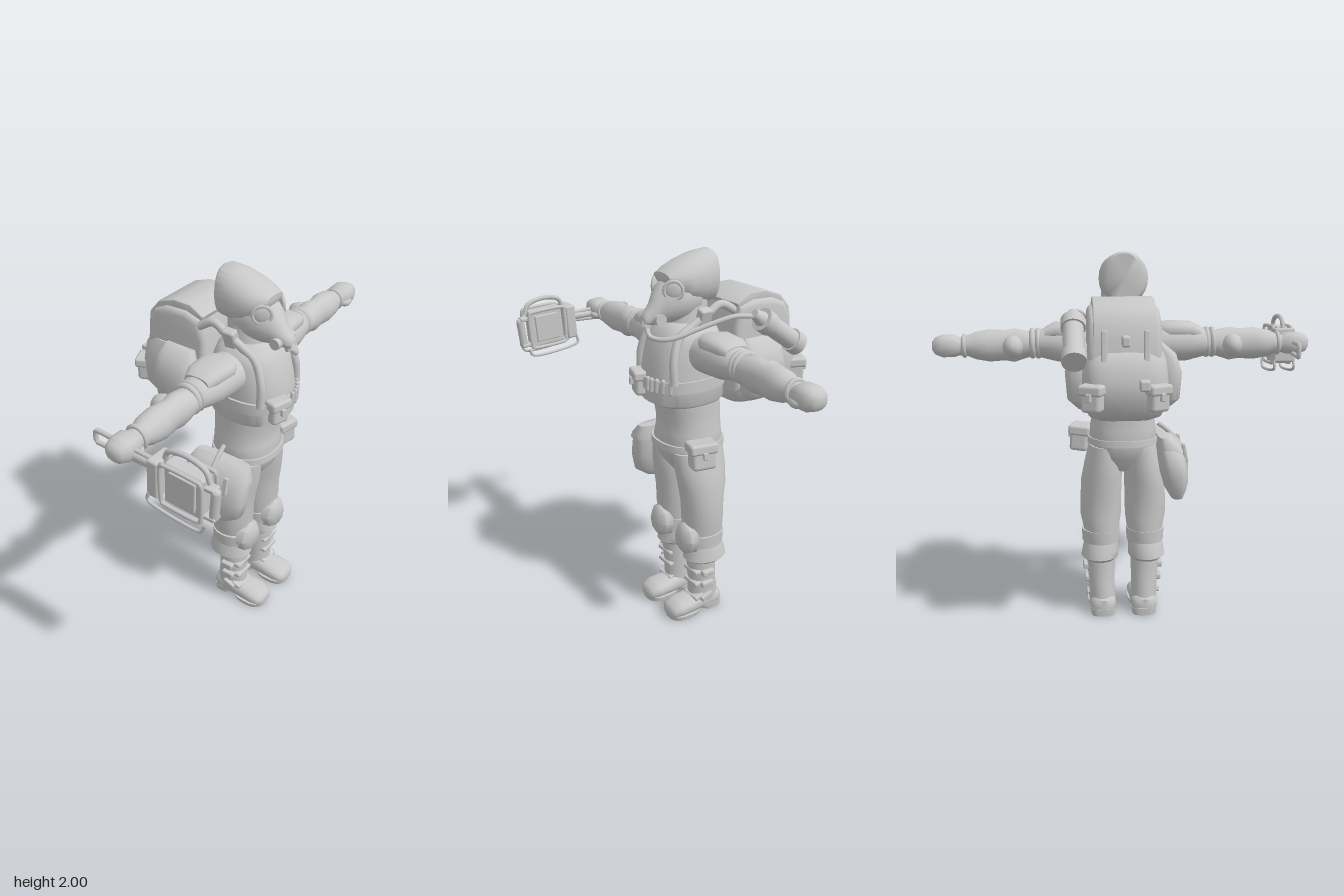
import * as THREE from 'three';
import { toCreasedNormals } from 'three/addons/utils/BufferGeometryUtils.js';
import { RoundedBoxGeometry } from 'three/addons/geometries/RoundedBoxGeometry.js';

const grey = new THREE.MeshStandardMaterial({ color: 0xc8c8c8 });
grey.name = 'plain grey';

// Skin over super-ellipse rings [t, centreA, centreB, radiusA, radiusB] along an axis.
// (a, b) is (x, z) along y, (x, y) along z and (z, y) along x.
function loft(axis, rings, n = 2, seg = 24) {
  const place = { y: (t, a, b) => [a, t, b], z: (t, a, b) => [a, b, t], x: (t, a, b) => [t, b, a] }[axis];
  const pos = [], idx = [];
  for (const [t, ca, cb, ra, rb] of rings) {
    for (let i = 0; i < seg; i++) {
      const u = (i / seg) * Math.PI * 2, c = Math.cos(u), s = Math.sin(u);
      pos.push(...place(t, ca + ra * Math.sign(c) * Math.abs(c) ** (2 / n),
        cb + rb * Math.sign(s) * Math.abs(s) ** (2 / n)));
    }
  }
  const first = rings[0], last = rings[rings.length - 1], k = rings.length * seg;
  pos.push(...place(first[0], first[1], first[2]), ...place(last[0], last[1], last[2]));
  const flip = (last[0] > first[0]) === (axis === 'z');
  const tri = (a, b, c) => (flip ? idx.push(a, b, c) : idx.push(a, c, b));
  for (let i = 0; i < seg; i++) {
    const j = (i + 1) % seg;
    for (let r = 0; r < rings.length - 1; r++) {
      const p = r * seg;
      tri(p + i, p + j, p + seg + j);
      tri(p + i, p + seg + j, p + seg + i);
    }
    tri(k, j, i);
    tri(k + 1, k - seg + i, k - seg + j);
  }
  const g = new THREE.BufferGeometry();
  g.setAttribute('position', new THREE.Float32BufferAttribute(pos, 3));
  g.setIndex(idx);
  return toCreasedNormals(g, 0.85);
}

const box = (w, h, d, r = 0.012) => new RoundedBoxGeometry(w, h, d, 2, Math.min(r, w / 2.1, h / 2.1, d / 2.1));
const tube = (pts, r, closed = false, steps = 36, tension = 0.5) => new THREE.TubeGeometry(
  new THREE.CatmullRomCurve3(pts.map(p => new THREE.Vector3(...p)), closed, 'catmullrom', tension), steps, r, 8, closed);

export function createModel() {
  const model = new THREE.Group();
  const add = (name, geo, p = [0, 0, 0], rot = [0, 0, 0], parent = model) => {
    const m = new THREE.Mesh(geo, grey);
    m.name = name;
    m.position.set(...p);
    m.rotation.set(...rot);
    parent.add(m);
    return m;
  };
  // Pouch whose front points along its own +x
  const pouch = (name, w, h, d, p, rot = [0, 0, 0]) => {
    const g = new THREE.Group();
    g.name = name;
    g.position.set(...p);
    g.rotation.set(...rot);
    add('pouchBody', box(w, h, d, 0.02), [0, 0, 0], [0, 0, 0], g);
    add('pouchFlap', box(w + 0.02, h * 0.4, d + 0.02, 0.015), [0, h * 0.32, 0], [0, 0, 0], g);
    add('pouchClasp', box(0.02, 0.04, 0.025, 0.005), [w / 2 + 0.01, h * 0.08, 0], [0, 0, 0], g);
    model.add(g);
  };

  // Torso
  add('trunk', loft('y', [[0.84, 0.06, 0, 0.09, 0.06], [0.92, 0.06, 0, 0.15, 0.15], [1.0, 0.065, 0, 0.175, 0.185],
    [1.08, 0.06, 0, 0.16, 0.178], [1.14, 0.06, 0, 0.16, 0.168], [1.2, 0.065, 0, 0.165, 0.168], [1.3, 0.08, 0, 0.16, 0.165]], 2.3));
  add('vest', loft('y', [[1.245, 0.09, 0, 0.185, 0.175], [1.26, 0.095, 0, 0.205, 0.185], [1.38, 0.1, 0, 0.205, 0.185],
    [1.48, 0.09, 0, 0.195, 0.185], [1.57, 0.085, 0, 0.175, 0.18], [1.62, 0.08, 0, 0.15, 0.165], [1.66, 0.08, 0, 0.11, 0.1]], 2.5, 32));
  add('chestBelt', loft('y', [[1.33, 0.1, 0, 0.215, 0.197], [1.39, 0.1, 0, 0.215, 0.197]], 2.5, 32));
  add('waistBelt', loft('y', [[0.99, 0.065, 0, 0.182, 0.192], [1.025, 0.065, 0, 0.18, 0.19]], 2.3, 32));
  add('neck', loft('y', [[1.6, 0.07, 0, 0.13, 0.12], [1.67, 0.07, 0, 0.11, 0.105], [1.78, 0.06, 0, 0.1, 0.095]]));

  // Head: pointed hood, breathing mask with round lenses
  add('hood', loft('x', [[-0.078, 0, 1.865, 0.085, 0.125], [-0.06, 0, 1.868, 0.11, 0.13], [0.02, 0, 1.862, 0.128, 0.127],
    [0.1, 0, 1.857, 0.123, 0.108], [0.16, 0, 1.865, 0.105, 0.075], [0.212, 0, 1.885, 0.07, 0.022]], 2.2));
  add('mask', loft('x', [[0.04, 0, 1.77, 0.1, 0.1], [0.12, 0, 1.775, 0.112, 0.12], [0.18, 0, 1.77, 0.1, 0.115],
    [0.23, 0, 1.755, 0.075, 0.095], [0.27, 0, 1.715, 0.048, 0.06], [0.31, 0, 1.69, 0.036, 0.036], [0.325, 0, 1.685, 0.025, 0.025]]));
  for (const s of [1, -1]) {
    const eye = new THREE.Group();
    eye.name = 'eyepiece';
    eye.position.set(0.195, 1.83, s * 0.078);
    eye.rotation.y = s * 0.62;
    add('lensRim', new THREE.TorusGeometry(0.045, 0.01, 8, 20), [0, 0, 0], [0, 0, 0], eye);
    add('lens', new THREE.SphereGeometry(0.042, 16, 8).scale(1, 1, 0.3), [0, 0, 0], [0, 0, 0], eye);
    model.add(eye);
    add('filterCap', new THREE.CylinderGeometry(0.028, 0.03, 0.03, 16), [0.26, 1.69, s * 0.055], [Math.PI / 2, 0, 0]);
  }
  add('snoutCap', new THREE.CylinderGeometry(0.028, 0.028, 0.03, 16), [0.305, 1.665, 0], [0, 0, 0.4]);
  add('airHose', tube([[-0.15, 1.69, -0.25], [-0.04, 1.7, -0.24], [0.1, 1.66, -0.19], [0.24, 1.61, -0.13],
    [0.31, 1.61, -0.05], [0.305, 1.66, 0]], 0.013));

  for (const s of [1, -1]) {
    // Arms
    add('upperArm', loft('z', [[s * 0.13, 0.06, 1.52, 0.11, 0.1], [s * 0.22, 0.06, 1.525, 0.115, 0.103],
      [s * 0.34, 0.06, 1.525, 0.105, 0.098], [s * 0.43, 0.06, 1.525, 0.085, 0.075], [s * 0.45, 0.06, 1.525, 0.075, 0.065]]));
    add('shoulderPad', loft('z', [[s * 0.2, 0.06, 1.585, 0.08, 0.045], [s * 0.24, 0.06, 1.59, 0.1, 0.05],
      [s * 0.36, 0.06, 1.59, 0.09, 0.045], [s * 0.41, 0.06, 1.575, 0.07, 0.035]], 2.6));
    for (const z of [0.445, 0.475]) add('sleeveBand', new THREE.TorusGeometry(0.066, 0.016, 8, 24), [0.06, 1.525, s * z]);
    add('forearm', loft('z', [[s * 0.44, 0.06, 1.52, 0.066, 0.06], [s * 0.5, 0.065, 1.52, 0.072, 0.07],
      [s * 0.57, 0.065, 1.515, 0.07, 0.088], [s * 0.62, 0.067, 1.515, 0.062, 0.08], [s * 0.7, 0.065, 1.515, 0.074, 0.085],
      [s * 0.77, 0.063, 1.515, 0.07, 0.072], [s * 0.82, 0.063, 1.515, 0.052, 0.052], [s * 0.87, 0.063, 1.51, 0.048, 0.045]]));
    add('elbowPad', new THREE.SphereGeometry(1, 10, 8).scale(0.075, 0.06, 0.055), [0.005, 1.515, s * 0.575]);
    add('wristStrap', new THREE.TorusGeometry(0.052, 0.012, 8, 20), [0.063, 1.515, s * 0.83]);
    add('fist', loft('z', [[s * 0.84, 0.063, 1.51, 0.045, 0.04], [s * 0.88, 0.065, 1.515, 0.066, 0.058],
      [s * 0.94, 0.066, 1.515, 0.066, 0.06], [s * 0.98, 0.066, 1.515, 0.052, 0.045], [s * 0.995, 0.066, 1.515, 0.03, 0.025]], 2.5, 16));
    add('thumb', new THREE.SphereGeometry(1, 10, 8).scale(0.03, 0.025, 0.045), [0.11, 1.49, s * 0.89]);

    // Legs, cuffs and knee pads
    add('trouserLeg', loft('y', [[0.36, 0.05, s * 0.12, 0.1, 0.09], [0.5, 0.05, s * 0.12, 0.112, 0.098], [0.58, 0.055, s * 0.123, 0.115, 0.112],
      [0.68, 0.055, s * 0.122, 0.118, 0.112], [0.78, 0.055, s * 0.118, 0.135, 0.112], [0.88, 0.06, s * 0.107, 0.148, 0.103],
      [0.98, 0.065, s * 0.1, 0.15, 0.085]]));
    add('cuff', loft('y', [[0.325, 0.045, s * 0.127, 0.1, 0.085], [0.345, 0.045, s * 0.13, 0.125, 0.103],
      [0.38, 0.045, s * 0.127, 0.118, 0.1], [0.43, 0.05, s * 0.122, 0.108, 0.094]]));
    add('kneeStrap', loft('y', [[0.43, 0.055, s * 0.123, 0.116, 0.103], [0.5, 0.055, s * 0.123, 0.12, 0.106]]));
    add('kneePad', loft('x', [[0.13, s * 0.123, 0.48, 0.086, 0.1], [0.175, s * 0.123, 0.48, 0.08, 0.094],
      [0.2, s * 0.123, 0.48, 0.052, 0.065]], 2, 8));

    // Boots with outer buckles
    add('bootShaft', loft('y', [[0.03, 0.05, s * 0.115, 0.09, 0.07], [0.1, 0.05, s * 0.117, 0.088, 0.072], [0.18, 0.055, s * 0.12, 0.08, 0.072],
      [0.28, 0.062, s * 0.122, 0.08, 0.078], [0.36, 0.062, s * 0.122, 0.08, 0.08]]));
    add('bootFoot', loft('x', [[-0.045, s * 0.115, 0.05, 0.045, 0.045], [-0.02, s * 0.115, 0.06, 0.07, 0.055], [0.08, s * 0.115, 0.065, 0.073, 0.06],
      [0.15, s * 0.115, 0.058, 0.076, 0.05], [0.22, s * 0.115, 0.057, 0.08, 0.045], [0.265, s * 0.115, 0.048, 0.066, 0.034],
      [0.28, s * 0.115, 0.04, 0.04, 0.02]], 2.4));
    add('heel', loft('y', [[0, 0.01, s * 0.115, 0.058, 0.066], [0.04, 0.01, s * 0.115, 0.06, 0.07]], 3));
    add('sole', loft('y', [[0, 0.18, s * 0.115, 0.095, 0.075], [0.025, 0.18, s * 0.115, 0.1, 0.08]], 2.6));
    [0.11, 0.195, 0.27].forEach((y, i) => {
      add('bootBuckle', box(0.075, 0.034, 0.035, 0.01), [0.075, y, s * (0.19 + i * 0.008)], [0, 0, i ? 0 : -0.35]);
      add('bootStrap', box(0.06, 0.026, 0.12, 0.01), [0.115, y, s * 0.13], [0, 0, i ? 0 : -0.35]);
    });

    // Pack shoulder straps
    add('shoulderStrap', tube([[-0.13, 1.7, s * 0.14], [-0.05, 1.74, s * 0.13], [0.03, 1.7, s * 0.13], [0.12, 1.65, s * 0.125],
      [0.2, 1.6, s * 0.13], [0.245, 1.5, s * 0.15], [0.25, 1.38, s * 0.16]], 0.022));
    add('collarBlock', box(0.07, 0.11, 0.05, 0.012), [0.05, 1.68, s * 0.125], [s * 0.3, 0, 0]);
  }

  // Chest pouch, cartridges and hip pouch
  pouch('chestPouch', 0.06, 0.13, 0.1, [0.305, 1.345, 0.085], [0, -0.3, 0]);
  for (let i = 0; i < 5; i++)
    add('cartridge', new THREE.CapsuleGeometry(0.012, 0.06, 4, 8), [0.318 - i * i * 0.0035, 1.365, -0.02 - i * 0.031], [-0.08, 0, 0]);
  pouch('hipPouch', 0.1, 0.14, 0.13, [0.13, 1.0, -0.225], [0.08, 1.3, 0]);

  // Large satchel on the hip
  add('satchel', loft('y', [[0.7, 0.02, 0.285, 0.13, 0.035], [0.75, 0.04, 0.28, 0.18, 0.06], [0.84, 0.04, 0.268, 0.2, 0.075],
    [0.92, 0.04, 0.255, 0.2, 0.075], [0.98, 0.055, 0.24, 0.18, 0.062], [1.03, 0.065, 0.215, 0.15, 0.035]], 3.2, 32));
  add('satchelFlap', loft('y', [[0.955, 0.06, 0.25, 0.192, 0.075], [0.985, 0.06, 0.243, 0.188, 0.068], [1.035, 0.065, 0.22, 0.165, 0.04]], 3.2, 32));
  add('satchelStrap', tube([[0.05, 1.09, 0.19], [0.05, 1.03, 0.262], [0.05, 0.93, 0.333], [0.05, 0.83, 0.347], [0.05, 0.73, 0.345], [0.05, 0.7, 0.3]], 0.013));
  for (const x of [-0.07, 0.155]) add('satchelClasp', box(0.026, 0.1, 0.02, 0.006), [x, 0.95, 0.323], [-0.2, 0, 0]);

  // Backpack: upper bag, bulging base, lid and side pockets
  const slab = (pts, w, bevel) => {
    const g = new THREE.ExtrudeGeometry(new THREE.Shape(pts.map(p => new THREE.Vector2(...p))),
      { depth: w - 2 * bevel, bevelSize: bevel, bevelThickness: bevel, bevelOffset: -bevel, bevelSegments: 3 });
    return toCreasedNormals(g.translate(0, 0, bevel - w / 2), 0.7);
  };
  add('packUpper', slab([[-0.11, 1.28], [-0.48, 1.3], [-0.475, 1.5], [-0.46, 1.64], [-0.42, 1.71], [-0.34, 1.745], [-0.22, 1.75],
    [-0.13, 1.72], [-0.1, 1.62]], 0.35, 0.03), [0, 0, -0.025]);
  add('packLid', slab([[-0.475, 1.58], [-0.46, 1.68], [-0.4, 1.75], [-0.3, 1.785], [-0.2, 1.785], [-0.12, 1.74], [-0.13, 1.715],
    [-0.21, 1.74], [-0.33, 1.735], [-0.41, 1.7], [-0.445, 1.64], [-0.45, 1.58]], 0.3, 0.006), [0, 0, -0.025]);
  add('packBase', loft('y', [[1.2, -0.27, -0.02, 0.13, 0.14], [1.225, -0.29, -0.02, 0.175, 0.18], [1.28, -0.315, -0.02, 0.21, 0.2],
    [1.4, -0.315, -0.02, 0.215, 0.21], [1.5, -0.305, -0.02, 0.205, 0.2], [1.55, -0.29, -0.02, 0.175, 0.18]], 4, 32));
  for (const s of [1, -1]) {
    add('sidePocket', loft('y', [[1.24, -0.22, s * 0.2 - 0.02, 0.08, 0.03], [1.29, -0.235, s * 0.22 - 0.02, 0.12, 0.06],
      [1.42, -0.24, s * 0.22 - 0.02, 0.125, 0.07], [1.51, -0.24, s * 0.21 - 0.02, 0.115, 0.05], [1.56, -0.24, s * 0.18 - 0.02, 0.09, 0.02]], 3, 16));
    pouch('rearPouch', 0.09, 0.13, 0.1, [-0.51, 1.335, s * 0.15 - 0.03], [0, Math.PI + s * 0.45, 0]);
    add('packStrap', box(0.02, 0.2, 0.03, 0.008), [-0.485, 1.55, s * 0.1 - 0.025], [0, 0, -0.12]);
  }
  add('rearBuckle', box(0.07, 0.05, 0.05, 0.01), [-0.545, 1.4, 0.06]);
  add('lidBuckle', box(0.08, 0.05, 0.04, 0.01), [-0.49, 1.6, -0.025]);

  // Gas canister slung on the pack
  const tank = new THREE.Group();
  tank.name = 'canister';
  tank.position.set(-0.31, 1.595, -0.265);
  tank.rotation.z = -0.96;
  add('canisterBody', new THREE.CylinderGeometry(0.052, 0.052, 0.26, 20), [0, 0, 0], [0, 0, 0], tank);
  for (const y of [-0.14, 0.1]) add('canisterBand', new THREE.CylinderGeometry(0.062, 0.062, 0.06, 20), [0, y, 0], [0, 0, 0], tank);
  add('canisterValve', new THREE.CylinderGeometry(0.024, 0.04, 0.06, 16), [0, 0.16, 0], [0, 0, 0], tank);
  model.add(tank);

  // Hand tool: grip loop, framed casing, guard rails and front handle
  const tool = new THREE.Group();
  tool.name = 'handTool';
  tool.position.set(0, 0, 0.925);
  const part = (name, geo, p, rot) => add(name, geo, p, rot, tool);
  part('stockLoop', tube([[-0.105, 1.46, -0.02], [-0.105, 1.525, -0.02], [0.27, 1.515, -0.01], [0.27, 1.475, -0.01]], 0.012, true, 60, 0.1));
  part('gripBar', new THREE.CylinderGeometry(0.022, 0.022, 0.2, 12), [0.18, 1.495, -0.01], [0, 0, Math.PI / 2]);
  part('casing', box(0.2, 0.21, 0.07, 0.012), [0.42, 1.465, 0], [0, 0, -0.06]);
  for (const s of [1, -1]) {
    part('casingPanel', box(0.14, 0.15, 0.02, 0.006), [0.42, 1.465, s * 0.035], [0, 0, -0.06]);
    part('casingFrame', tube([[0.32, 1.57, s * 0.05], [0.53, 1.56, s * 0.05], [0.52, 1.36, s * 0.05], [0.315, 1.37, s * 0.05]], 0.01, true, 48, 0.1));
    part('lowerRail', tube([[0.25, 1.4, s * 0.055], [0.26, 1.34, s * 0.055], [0.5, 1.315, s * 0.055], [0.55, 1.36, s * 0.055]], 0.008));
  }
  part('rearBlock', box(0.06, 0.19, 0.12, 0.012), [0.275, 1.475, 0], [0, 0, -0.06]);
  part('topHandle', tube([[0.3, 1.55, 0], [0.33, 1.61, 0], [0.42, 1.625, 0], [0.51, 1.6, 0], [0.54, 1.54, 0]], 0.013));
  part('frontHandle', new THREE.CapsuleGeometry(0.022, 0.13, 4, 12), [0.56, 1.44, 0], [0, 0, -0.1]);
  for (const y of [1.37, 1.52]) part('handleBracket', box(0.07, 0.02, 0.05, 0.006), [0.535, y, 0]);
  model.add(tool);

  return model;
}
